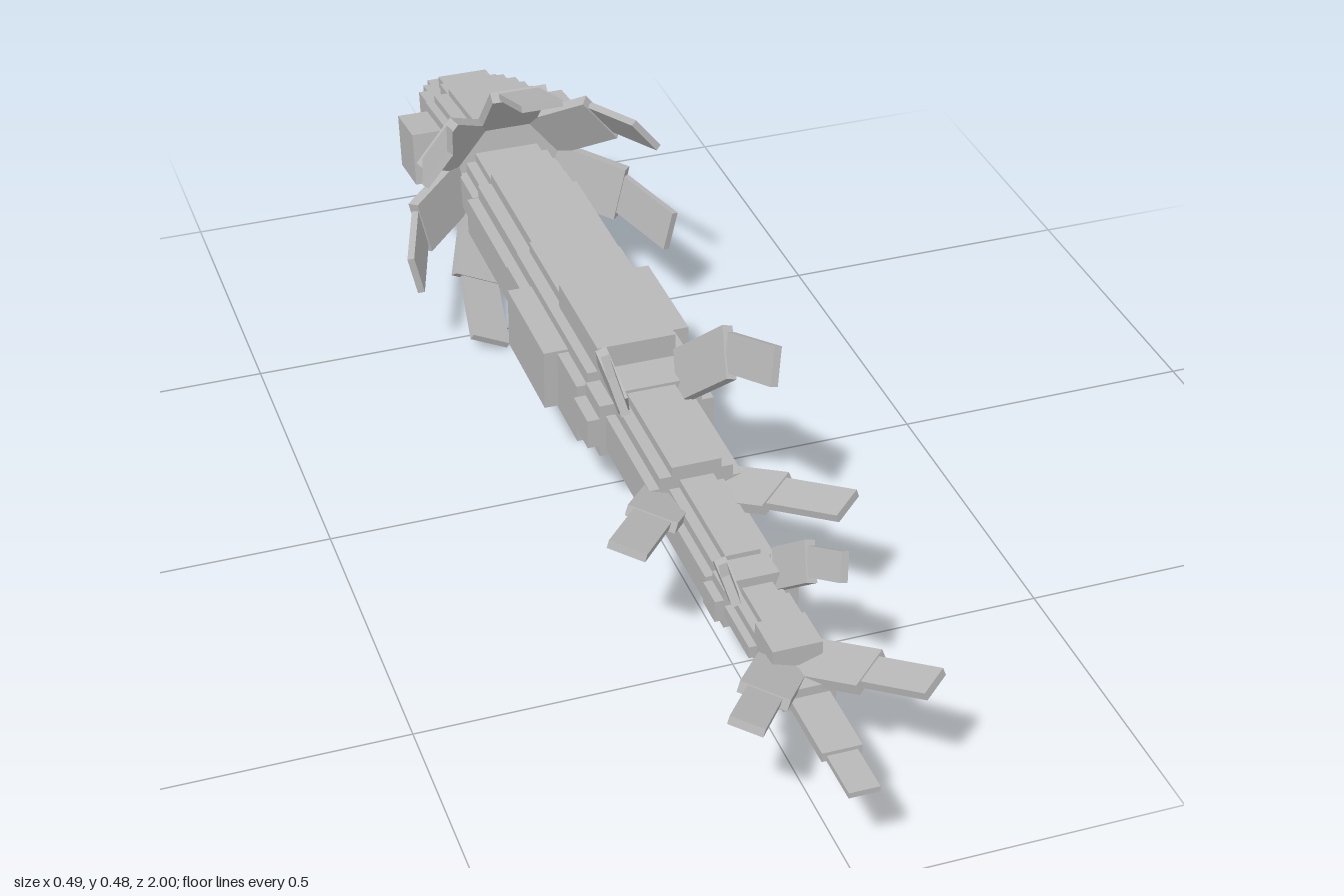
import * as THREE from 'three';

const grey = new THREE.MeshStandardMaterial({ color: 0xb8b8b8 });
grey.name = 'grey';

// Axis-aligned block from half width, y range and z range
function block(parent, name, halfW, y0, y1, z0, z1, x = 0) {
  const mesh = new THREE.Mesh(new THREE.BoxGeometry(halfW * 2, y1 - y0, Math.abs(z1 - z0)), grey);
  mesh.position.set(x, (y0 + y1) / 2, (z0 + z1) / 2);
  mesh.name = name;
  parent.add(mesh);
}

// Body segment with a stepped, rounded-off cross-section
function segment(parent, name, z0, z1, y0, y1, w, s) {
  const g = new THREE.Group();
  g.name = name;
  block(g, name + 'Sides', w, y0 + 2 * s, y1 - 2.2 * s, z0, z1);
  block(g, name + 'Shoulders', w - s, y0 + s, y1 - s, z0, z1);
  block(g, name + 'Core', w - 2.2 * s, y0, y1, z0, z1);
  parent.add(g);
}

// Flat plate running from p to q, facing roughly along hint
function plate(parent, name, p, q, width, thick, hint) {
  const d = q.clone().sub(p);
  const len = d.length();
  d.normalize();
  const side = new THREE.Vector3().crossVectors(d, hint).normalize();
  const normal = new THREE.Vector3().crossVectors(side, d);
  const mesh = new THREE.Mesh(new THREE.BoxGeometry(width, len, thick), grey);
  mesh.quaternion.setFromRotationMatrix(new THREE.Matrix4().makeBasis(side, d, normal));
  mesh.position.copy(p).add(q).multiplyScalar(0.5);
  mesh.name = name;
  parent.add(mesh);
}

// Fin of two plates, bent at the middle point
function fin(parent, name, pts, widths, thicks, hint) {
  const g = new THREE.Group();
  g.name = name;
  plate(g, name + 'Base', pts[0], pts[1], widths[0], thicks[0], hint);
  plate(g, name + 'Tip', pts[1], pts[2], widths[1], thicks[1], hint);
  parent.add(g);
}

function finPair(parent, name, pts, widths, hint) {
  for (const sx of [1, -1]) {
    const v = ([x, y, z]) => new THREE.Vector3(x * sx, y, z);
    fin(parent, (sx > 0 ? 'left' : 'right') + name, pts.map(v), widths, [0.018, 0.013], v(hint));
  }
}

export function createModel() {
  const model = new THREE.Group();
  model.name = 'serpent';

  // Body, from neck to tail
  const body = new THREE.Group();
  body.name = 'body';
  model.add(body);
  segment(body, 'neck', -0.7, -0.57, 0.15, 0.27, 0.09, 0.015);
  segment(body, 'chest', -0.57, -0.33, 0.13, 0.28, 0.1, 0.02);
  segment(body, 'trunk', -0.33, 0.05, 0.1, 0.28, 0.1, 0.018);
  block(body, 'back', 0.065, 0.26, 0.305, -0.15, 0.05);
  block(body, 'flanks', 0.123, 0.14, 0.245, -0.25, -0.05);
  segment(body, 'waist', 0.05, 0.12, 0.13, 0.265, 0.105, 0.02);
  segment(body, 'hips', 0.12, 0.33, 0.13, 0.26, 0.075, 0.016);
  segment(body, 'rearTrunk', 0.33, 0.53, 0.13, 0.235, 0.058, 0.014);
  segment(body, 'rearKnuckle', 0.54, 0.59, 0.14, 0.235, 0.065, 0.014);
  segment(body, 'tailRoot', 0.52, 0.69, 0.15, 0.22, 0.05, 0.012);
  block(body, 'tailKnuckle', 0.038, 0.12, 0.228, 0.68, 0.75);
  block(body, 'tailBase', 0.04, 0.16, 0.195, 0.74, 0.8);
  block(body, 'tailMiddle', 0.03, 0.165, 0.18, 0.8, 0.92);
  block(body, 'tailTip', 0.023, 0.165, 0.174, 0.92, 1);

  // Head, tipped slightly nose down
  const head = new THREE.Group();
  head.name = 'head';
  head.position.set(0, 0.24, -0.65);
  head.rotation.x = -0.13;
  model.add(head);
  block(head, 'skull', 0.1, -0.06, 0.075, -0.01, -0.175);
  block(head, 'crown', 0.06, 0.06, 0.1, 0, -0.16);
  block(head, 'brow', 0.085, 0.05, 0.088, -0.02, -0.17);
  block(head, 'jaw', 0.085, -0.085, -0.05, -0.02, -0.16);
  block(head, 'snout', 0.092, -0.045, 0.065, -0.17, -0.255);
  block(head, 'snoutTop', 0.06, 0.06, 0.088, -0.15, -0.22);
  block(head, 'chin', 0.075, -0.062, -0.03, -0.15, -0.235);
  block(head, 'muzzle', 0.07, -0.03, 0.055, -0.25, -0.31);
  block(head, 'muzzleTop', 0.045, 0.05, 0.075, -0.21, -0.29);
  block(head, 'nose', 0.053, 0.005, 0.05, -0.3, -0.345);
  for (const s of [1, -1]) {
    block(head, s > 0 ? 'leftCheek' : 'rightCheek', 0.03, -0.035, 0.06, -0.07, -0.17, s * 0.124);
    block(head, s > 0 ? 'leftEar' : 'rightEar', 0.015, -0.04, 0.03, -0.01, -0.065, s * 0.11);
  }

  // Frill of seven bent petals around the neck
  const frill = new THREE.Group();
  frill.name = 'frill';
  model.add(frill);
  for (let i = 0; i < 7; i++) {
    const a = Math.PI / 2 + (i * Math.PI * 2) / 7;
    const out = new THREE.Vector3(Math.cos(a), Math.sin(a), 0);
    const at = (r, z) => new THREE.Vector3(out.x * r, 0.235 + out.y * r, z);
    fin(frill, 'petal' + (i + 1), [at(0.09, -0.66), at(0.19, -0.575), at(0.236, -0.44)],
      [0.1, 0.072], [0.02, 0.012], out);
  }

  // Upright and spread fins along the back and tail
  finPair(model, 'BackFin', [[0.055, 0.26, 0.1], [0.095, 0.365, 0.21], [0.124, 0.408, 0.33]],
    [0.085, 0.062], [1, -0.25, 0]);
  finPair(model, 'SideFin', [[0.045, 0.205, 0.33], [0.1, 0.235, 0.41], [0.172, 0.265, 0.51]],
    [0.08, 0.06], [-0.4, 1, -0.2]);
  finPair(model, 'RearBackFin', [[0.04, 0.225, 0.57], [0.063, 0.28, 0.635], [0.085, 0.315, 0.705]],
    [0.062, 0.045], [1, -0.25, 0]);
  finPair(model, 'TailFin', [[0.02, 0.19, 0.74], [0.08, 0.22, 0.825], [0.138, 0.25, 0.91]],
    [0.075, 0.052], [-0.4, 1, -0.2]);
  return model;
}
